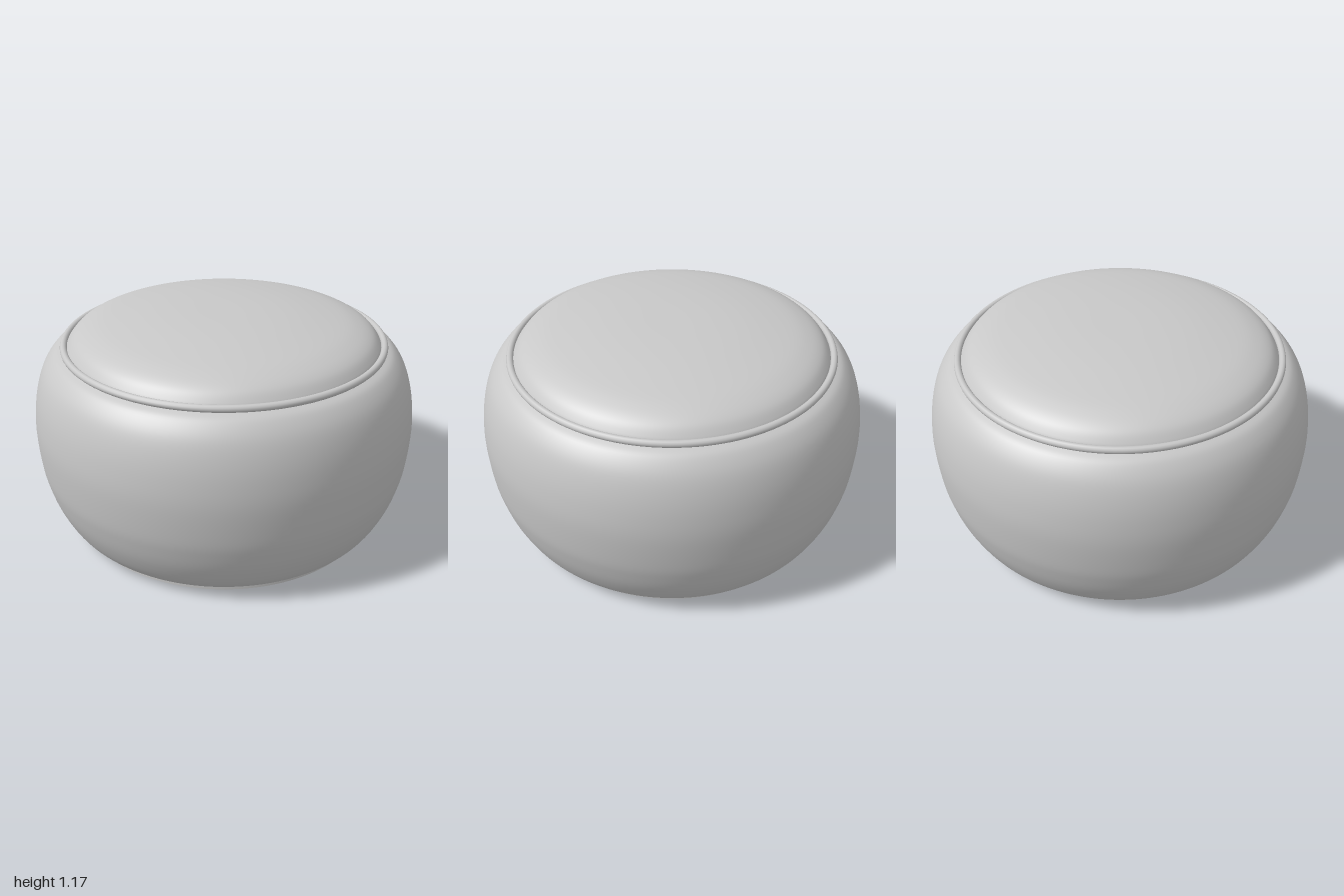
import * as THREE from 'three';

const SEGMENTS = 128;

// Revolve a smooth curve through [radius, height] points, listed bottom to top
function revolve(points, steps) {
  const curve = new THREE.SplineCurve(points.map(([r, y]) => new THREE.Vector2(r, y)));
  const profile = curve.getPoints(steps);
  profile.forEach((p) => { p.x = Math.max(p.x, 0); });
  return new THREE.LatheGeometry(profile, SEGMENTS);
}

export function createModel() {
  const group = new THREE.Group();
  group.name = 'pouf';
  const fabric = new THREE.MeshStandardMaterial({ color: 0xc8c8c8 });
  fabric.name = 'grey fabric';

  const add = (name, geometry, y = 0) => {
    const mesh = new THREE.Mesh(geometry, fabric);
    mesh.name = name;
    mesh.position.y = y;
    group.add(mesh);
    return mesh;
  };

  // Flat round base with a short rim
  add('base', new THREE.CylinderGeometry(0.803, 0.803, 0.024, SEGMENTS), 0.012);

  // Bulging padded side
  add('sideCushion', revolve([
    [0.79, 0.015], [0.835, 0.04], [0.885, 0.1], [0.935, 0.2], [0.967, 0.3], [0.987, 0.4],
    [1.0, 0.57], [0.992, 0.7], [0.97, 0.81], [0.935, 0.9], [0.885, 0.965], [0.84, 0.99], [0.80, 1.0],
  ], 64));

  // Piping along the upper seam
  const piping = new THREE.TorusGeometry(0.828, 0.018, 12, SEGMENTS);
  piping.rotateX(Math.PI / 2);
  add('seamPiping', piping, 1.006);

  // Domed seat pad
  add('seatPad', revolve([
    [0.815, 0.995], [0.803, 1.02], [0.765, 1.062], [0.7, 1.095], [0.6, 1.122],
    [0.4, 1.151], [0.2, 1.165], [0, 1.168],
  ], 40));

  return group;
}
